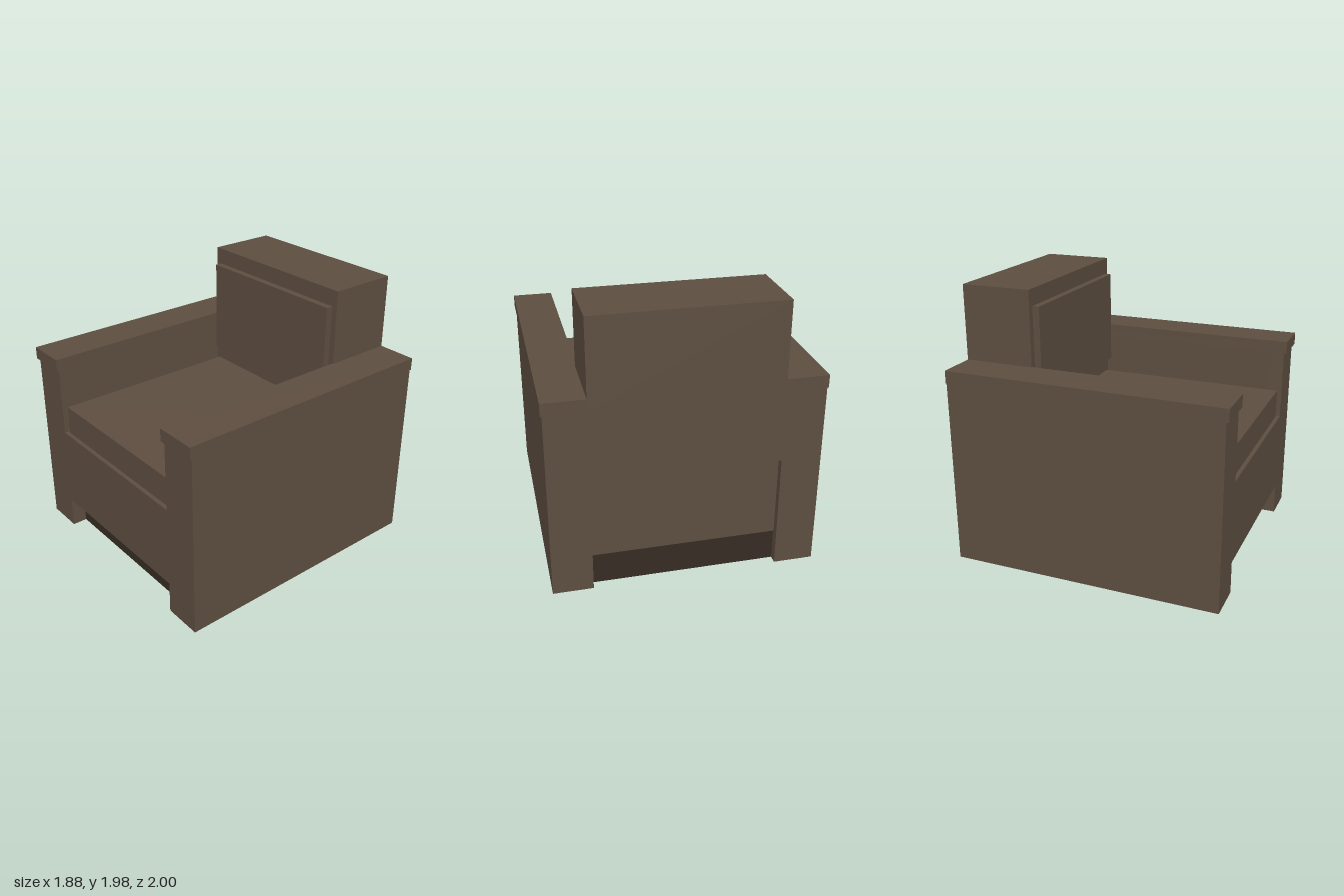
import * as THREE from 'three';

export function createModel() {
  const model = new THREE.Group();
  model.name = 'armchair';
  const upholstery = new THREE.MeshStandardMaterial({ color: 0x5d4e40 });
  upholstery.name = 'brown upholstery';
  const lining = new THREE.MeshStandardMaterial({ color: 0x362d23 });
  lining.name = 'dark lining';

  // Box given by its minimum and maximum on each axis
  function box(name, [x0, x1], [y0, y1], [z0, z1], material = upholstery, parent = model) {
    const mesh = new THREE.Mesh(new THREE.BoxGeometry(x1 - x0, y1 - y0, z1 - z0), material);
    mesh.position.set((x0 + x1) / 2, (y0 + y1) / 2, (z0 + z1) / 2);
    mesh.name = name;
    parent.add(mesh);
  }

  // Board cut from half an outline, mirrored across x = 0
  function board(name, half, z0, z1) {
    const outline = [...half, ...half.map(([x, y]) => [-x, y]).reverse()];
    const shape = new THREE.Shape(outline.map(([x, y]) => new THREE.Vector2(x, y)));
    const geometry = new THREE.ExtrudeGeometry(shape, { depth: z1 - z0, bevelEnabled: false });
    const mesh = new THREE.Mesh(geometry, upholstery);
    mesh.position.z = z0;
    mesh.name = name;
    model.add(mesh);
  }

  // Front and back boards, both standing on the leg corners
  board('frontBoard', [[0.65, 0.235], [0.65, 0], [0.93, 0], [0.93, 1.35], [0.65, 1.35], [0.65, 0.835]], 0.88, 0.98);
  board('backBoard', [[0.65, 0.84], [0.65, 0], [0.93, 0], [0.93, 1.35], [0.65, 1.35], [0.65, 1.98]], -1, -0.93);

  // Hollow arms: outer panel, inner panel and overhanging cap
  for (const [side, s] of [['left', 1], ['right', -1]]) {
    const arm = new THREE.Group();
    arm.name = side + 'Arm';
    model.add(arm);
    const span = (a, b) => (s > 0 ? [a, b] : [-b, -a]);
    box('outerPanel', span(0.86, 0.93), [0, 1.35], [-0.93, 0.88], upholstery, arm);
    box('innerPanel', span(0.65, 0.69), [0, 1.35], [-0.93, 0.88], upholstery, arm);
    box('armCap', span(0.64, 0.94), [1.35, 1.44], [-1, 1], upholstery, arm);
  }

  // Seat base and cushions
  box('seatBase', [-0.65, 0.65], [0.235, 0.835], [-0.95, 0.88]);
  box('seatCushion', [-0.625, 0.625], [0.835, 1.05], [-0.49, 0.95]);
  box('backrest', [-0.65, 0.65], [0.835, 1.98], [-0.93, -0.49]);
  box('backCushion', [-0.605, 0.605], [1.17, 1.86], [-0.49, -0.44]);

  // Recessed dark plinth, open underneath
  box('plinthCeiling', [-0.65, 0.65], [0.227, 0.235], [-0.93, 0.87], lining);
  box('plinthFront', [-0.65, 0.65], [0, 0.235], [0.86, 0.87], lining);
  box('plinthBack', [-0.65, 0.65], [0, 0.235], [-0.94, -0.93], lining);

  return model;
}
